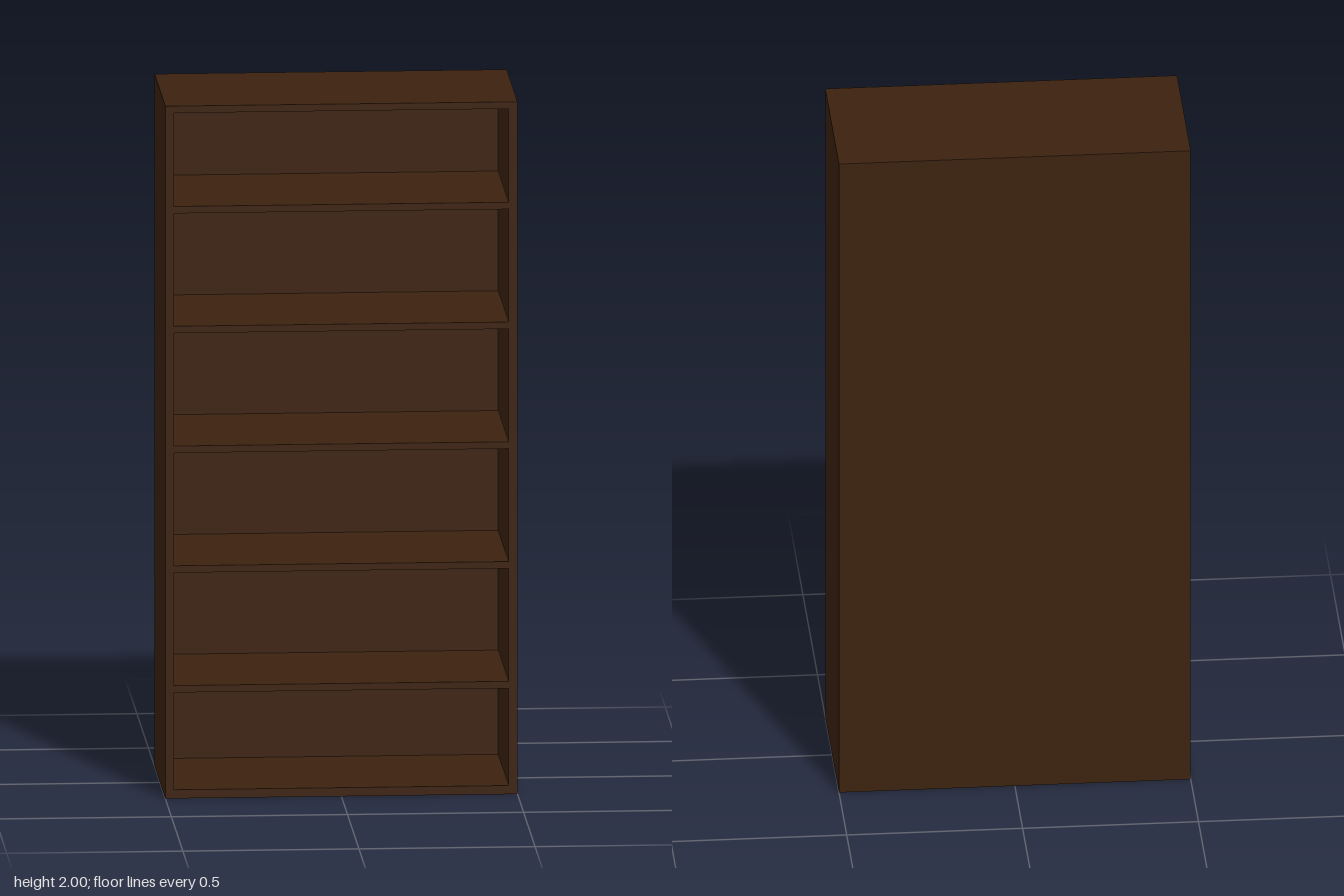
import * as THREE from 'three';

const WIDTH = 1, HEIGHT = 2, DEPTH = 0.47;
const SIDE = 0.025, BOARD = 0.02, BACK = 0.015;

export function createModel() {
  const model = new THREE.Group();
  model.name = 'bookcase';
  const wood = new THREE.MeshStandardMaterial({ color: 0x3d220f });
  wood.name = 'dark brown wood';

  const board = (name, w, h, d, x, y, z) => {
    const mesh = new THREE.Mesh(new THREE.BoxGeometry(w, h, d), wood);
    mesh.name = name;
    mesh.position.set(x, y, z);
    model.add(mesh);
  };

  // Upright sides, full height and depth
  for (const [name, s] of [['leftSide', 1], ['rightSide', -1]]) {
    board(name, SIDE, HEIGHT, DEPTH, s * (WIDTH - SIDE) / 2, HEIGHT / 2, 0);
  }

  // Top and bottom boards fitted between the sides
  const inner = WIDTH - 2 * SIDE;
  board('topBoard', inner, BOARD, DEPTH, 0, HEIGHT - BOARD / 2, 0);
  board('bottomBoard', inner, SIDE, DEPTH, 0, SIDE / 2, 0);

  // Back panel
  board('backPanel', inner, HEIGHT - SIDE - BOARD, BACK, 0,
    (HEIGHT + SIDE - BOARD) / 2, (BACK - DEPTH) / 2);

  // Five evenly spaced shelves, flush with the front
  for (let i = 0; i < 5; i++) {
    board(`shelf${i + 1}`, inner, BOARD, DEPTH - BACK, 0, 0.316 + i * 0.346, BACK / 2);
  }
  return model;
}
